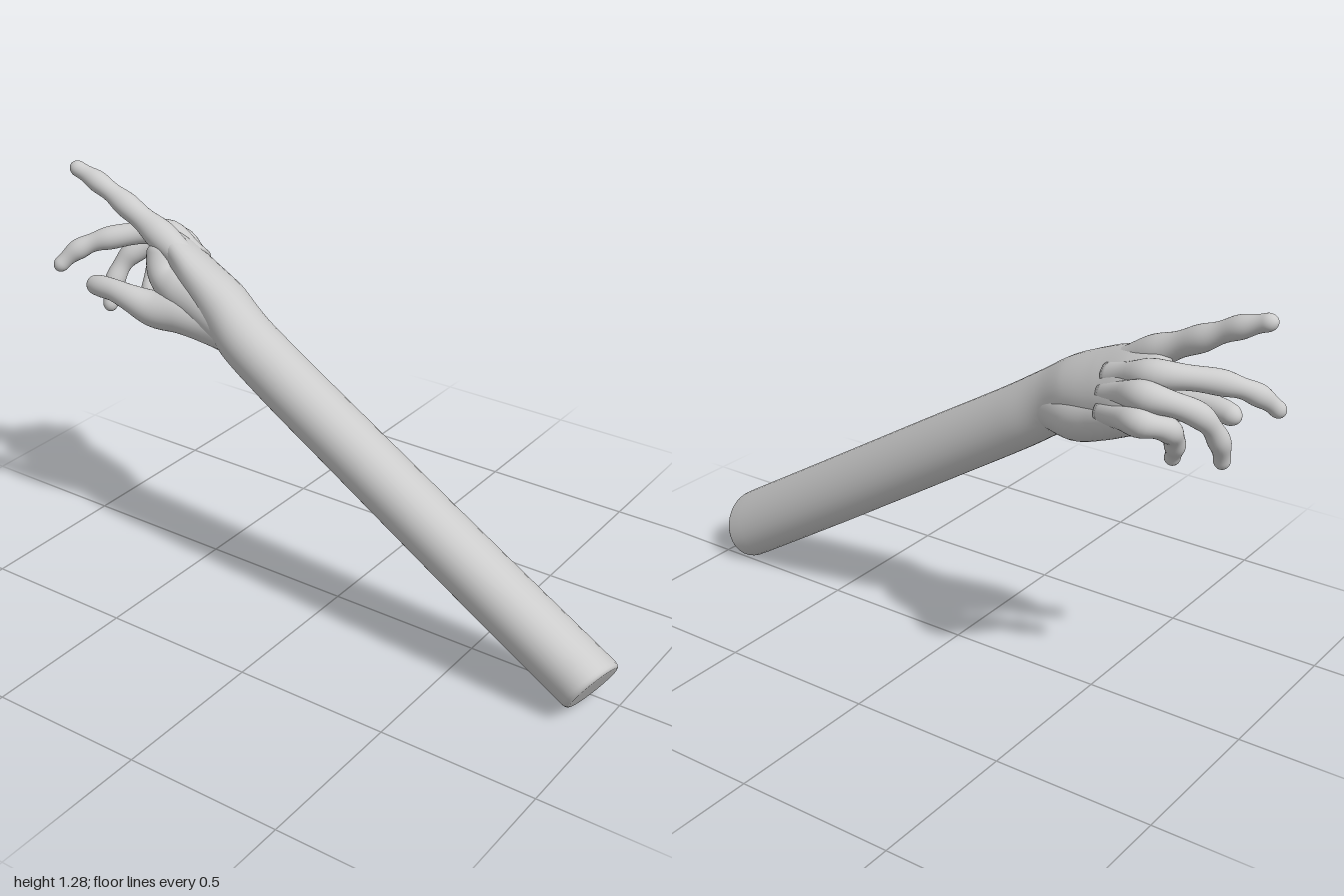
import * as THREE from 'three';

const SIDES = 32;
const V = (p) => new THREE.Vector3(...p);

// Smooth closed skin through rings { c: centre, u, v: half axes }, with u x v pointing along the loft
function loft(name, rings) {
  const pos = [], index = [];
  for (const { c, u, v } of rings) {
    for (let j = 0; j < SIDES; j++) {
      const a = (j / SIDES) * Math.PI * 2;
      const p = c.clone().addScaledVector(u, Math.cos(a)).addScaledVector(v, Math.sin(a));
      pos.push(p.x, p.y, p.z);
    }
  }
  for (let i = 0; i < rings.length - 1; i++) {
    for (let j = 0; j < SIDES; j++) {
      const k = (j + 1) % SIDES;
      const a = i * SIDES + j, b = i * SIDES + k;
      index.push(a, b, b + SIDES, a, b + SIDES, a + SIDES);
    }
  }
  // Poles close both ends
  const last = (rings.length - 1) * SIDES, pole = pos.length / 3;
  pos.push(...rings[0].c.toArray(), ...rings[rings.length - 1].c.toArray());
  for (let j = 0; j < SIDES; j++) {
    const k = (j + 1) % SIDES;
    index.push(pole, k, j, pole + 1, last + j, last + k);
  }
  const geo = new THREE.BufferGeometry();
  geo.setAttribute('position', new THREE.Float32BufferAttribute(pos, 3));
  geo.setIndex(index);
  geo.computeVertexNormals();
  const mesh = new THREE.Mesh(geo, new THREE.MeshStandardMaterial({ color: 0xcccccc }));
  mesh.name = name;
  return mesh;
}

// Round-ended limb through [x, y, z, radius] stations; bulge swells it at each joint
function limb(name, stations, bulge = 0) {
  const path = new THREE.CatmullRomCurve3(stations.map((s) => V(s.slice(0, 3))));
  const size = new THREE.CatmullRomCurve3(stations.map((s, i) => new THREE.Vector3(i, s[3], 0)));
  const n = 52, spans = stations.length - 1, rings = [];
  let normal = new THREE.Vector3(0, 0.3, 1);
  for (let i = 0; i <= n; i++) {
    const t = Math.sin((i / n) * Math.PI / 2); // denser rings at the tip
    const dir = path.getTangent(t);
    normal = normal.clone().addScaledVector(dir, -normal.dot(dir)).normalize();
    const side = dir.clone().cross(normal);
    const end = Math.max(0, (t - 0.92) / 0.08);
    const r = size.getPoint(t).y * (1 + bulge * Math.cos(t * spans * Math.PI * 2))
      * Math.sqrt(Math.max(0.0004, 1 - end * end));
    rings.push({ c: path.getPoint(t), u: normal.clone().multiplyScalar(r), v: side.multiplyScalar(r) });
  }
  return loft(name, rings);
}

// Forearm running into the flat of the hand: [x, y, z, half width, half thickness, slant]
function armAndPalm() {
  const stations = [
    [0.947, 0.092, 0.075, 0.121, 0.099, 1.015],
    [0.55, 0.335, 0.075, 0.118, 0.097, 1.015],
    [0.12, 0.602, 0.073, 0.111, 0.094, 1.015],
    [-0.18, 0.788, 0.07, 0.104, 0.092, 1.015],
    [-0.30, 0.868, 0.066, 0.102, 0.09, 1.015],
    [-0.40, 0.932, 0.038, 0.114, 0.085, 1.02],
    [-0.52, 0.985, 0.002, 0.13, 0.072, 1.08],
    [-0.62, 1.025, -0.038, 0.133, 0.056, 1.2],
    [-0.70, 1.045, -0.066, 0.118, 0.04, 1.35],
    [-0.725, 1.05, -0.072, 0.095, 0.02, 1.4],
  ];
  const centre = new THREE.CatmullRomCurve3(stations.map((s) => V(s.slice(0, 3))));
  const shape = new THREE.CatmullRomCurve3(stations.map((s) => V(s.slice(3))));
  const roll = 0.69;
  const axis = new THREE.Vector3(-0.85, 0.53, 0);
  const ring = (t, scale = 1) => {
    const { x: w, y: h, z: slant } = shape.getPoint(t);
    const z = new THREE.Vector3(0, 0, 1);
    const m = new THREE.Vector3(Math.cos(slant), Math.sin(slant), 0);
    const u = z.clone().multiplyScalar(Math.cos(roll)).addScaledVector(m, Math.sin(roll));
    const v = m.clone().multiplyScalar(Math.cos(roll)).addScaledVector(z, -Math.sin(roll));
    // The cut end is slightly oblique
    const shear = 0.16 * Math.max(0, 1 - 8 * t);
    for (const d of [u, v]) d.addScaledVector(axis, shear * d.z);
    return { c: centre.getPoint(t), u: u.multiplyScalar(w * scale), v: v.multiplyScalar(h * scale) };
  };
  // Softened rim of the cut end
  const rings = [[0, 0.5], [0, 0.88], [0.0006, 0.94], [0.002, 0.975], [0.004, 0.993]].map((r) => ring(...r));
  for (let i = 1; i <= 90; i++) rings.push(ring(0.006 + (0.994 * i) / 90));
  rings.push(ring(1, 0.5));
  return loft('forearmAndPalm', rings);
}

export function createModel() {
  const model = new THREE.Group();
  model.name = 'pointingArm';
  model.add(armAndPalm());

  // Fleshy pads of the palm
  model.add(limb('palmHeel', [
    [-0.24, 0.84, 0.06, 0.055], [-0.34, 0.862, 0.025, 0.066], [-0.44, 0.878, -0.025, 0.068],
    [-0.54, 0.91, -0.06, 0.06], [-0.63, 0.945, -0.095, 0.05], [-0.71, 0.975, -0.135, 0.04],
  ]));
  model.add(limb('thumbWeb', [
    [-0.34, 0.89, 0.07, 0.075], [-0.45, 0.935, 0.06, 0.078], [-0.55, 0.965, 0.06, 0.072],
    [-0.61, 1.0, 0.06, 0.055], [-0.645, 1.09, 0.032, 0.045],
  ]));
  model.add(limb('thumb', [
    [-0.28, 0.865, 0.07, 0.07], [-0.42, 0.885, 0.07, 0.07], [-0.52, 0.9, 0.09, 0.067],
    [-0.61, 0.9, 0.118, 0.058], [-0.69, 0.925, 0.14, 0.042], [-0.75, 0.936, 0.143, 0.035],
    [-0.81, 0.934, 0.138, 0.034], [-0.868, 0.926, 0.126, 0.028],
  ]));

  // Fingers: root inside the palm, knuckle, two joints, tip
  const fingers = {
    indexFinger: [[-0.46, 1.0, 0.04, 0.05], [-0.65, 1.108, 0.03, 0.045], [-0.79, 1.178, 0.026, 0.036], [-0.9, 1.232, 0.03, 0.031], [-1, 1.268, 0.035, 0.024]],
    middleFinger: [[-0.54, 1.025, -0.025, 0.04], [-0.69, 1.075, -0.055, 0.042], [-0.85, 1.057, 0.045, 0.034], [-0.93, 1.02, 0.105, 0.03], [-0.982, 0.958, 0.16, 0.023]],
    ringFinger: [[-0.55, 0.985, -0.055, 0.04], [-0.7, 1.033, -0.113, 0.042], [-0.83, 0.985, -0.04, 0.034], [-0.865, 0.9, 0.015, 0.03], [-0.86, 0.806, 0.055, 0.023]],
    littleFinger: [[-0.56, 0.945, -0.085, 0.036], [-0.71, 0.973, -0.152, 0.038], [-0.765, 0.94, -0.085, 0.033], [-0.755, 0.875, -0.03, 0.028], [-0.728, 0.806, 0.003, 0.022]],
  };
  for (const [name, joints] of Object.entries(fingers)) model.add(limb(name, joints, 0.08));
  return model;
}
